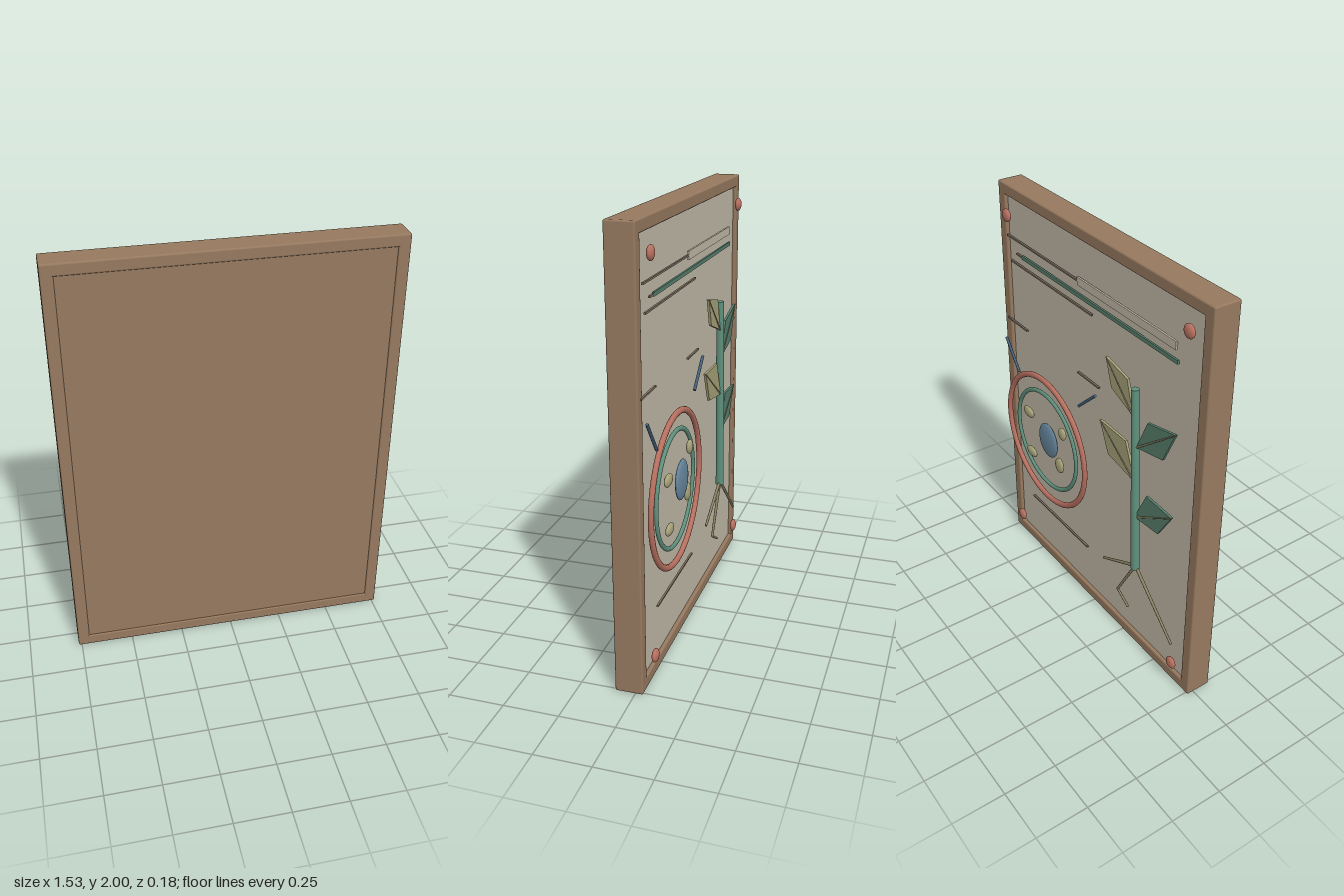
import * as THREE from 'three';
import { RoundedBoxGeometry } from 'three/addons/geometries/RoundedBoxGeometry.js';

const mat = (name, color) => {
  const m = new THREE.MeshStandardMaterial({ color });
  m.name = name;
  return m;
};

export function createModel() {
  const model = new THREE.Group();
  const wood = mat('brown wood', 0x96795f);
  const paper = mat('cream paper', 0xc2baa8);
  const red = mat('terracotta', 0xb87060);
  const green = mat('sage green', 0x5f917d);
  const leafGreen = mat('leaf green', 0x587f6d);
  const olive = mat('olive', 0xa5a179);
  const root = mat('root olive', 0x857f62);
  const blue = mat('slate blue', 0x66859b);
  const navy = mat('dark blue', 0x445f78);
  const ink = mat('grey brown', 0x7f7263);

  const add = (name, geometry, material, x = 0, y = 0, z = 0) => {
    const mesh = new THREE.Mesh(geometry, material);
    mesh.name = name;
    mesh.position.set(x, y, z);
    model.add(mesh);
    return mesh;
  };
  const box = (name, m, w, h, d, x, y, z, r = 0.008) =>
    add(name, r ? new RoundedBoxGeometry(w, h, d, 2, r) : new THREE.BoxGeometry(w, h, d), m, x, y, z);

  // Round rod between two points on the back, at depth z
  const rod = (name, m, [x0, y0], [x1, y1], r0, r1 = r0, z = -0.058) => {
    const len = Math.hypot(x1 - x0, y1 - y0);
    const mesh = add(name, new THREE.CylinderGeometry(r1, r0, len, 12), m, (x0 + x1) / 2, (y0 + y1) / 2, z);
    mesh.rotation.z = Math.atan2(y1 - y0, x1 - x0) - Math.PI / 2;
    return mesh;
  };
  const ellipsoid = (name, m, x, y, z, rx, ry, rz) => {
    const mesh = add(name, new THREE.SphereGeometry(1, 24, 16), m, x, y, z);
    mesh.scale.set(rx, ry, rz);
  };

  // Frame bars, closing board and paper sheet
  for (const s of [-1, 1]) {
    box('frameSide', wood, 0.055, 2, 0.125, s * 0.7375, 1, 0.0275);
    box('frameRail', wood, 1.5, 0.055, 0.125, 0, 1 + s * 0.9725, 0.0275);
  }
  box('board', wood, 1.44, 1.91, 0.07, 0, 1, 0.049, 0);
  box('paperSheet', paper, 1.425, 1.895, 0.03, 0, 1, -0.005);

  // Corner pins
  for (const x of [-0.66, 0.66])
    for (const y of [0.137, 1.868]) ellipsoid('cornerPin', red, x, y, -0.058, 0.03, 0.031, 0.015);

  // Two rings around a domed centre with seeds
  const ring = (name, m, radius, tube, z) => {
    add(name, new THREE.TorusGeometry(radius, tube, 12, 64), m, 0.374, 0.795, z).scale.z = 0.8;
  };
  ring('outerRing', red, 0.343, 0.015, -0.065);
  ring('innerRing', green, 0.262, 0.011, -0.06);
  ellipsoid('centreDome', blue, 0.333, 0.822, -0.075, 0.08, 0.093, 0.018);
  for (const [x, y, rx, ry] of [
    [0.513, 0.892, 0.044, 0.028], [0.208, 0.928, 0.028, 0.033],
    [0.499, 0.66, 0.044, 0.026], [0.24, 0.725, 0.033, 0.042],
  ]) ellipsoid('seed', olive, x, y, -0.073, rx, ry, 0.014);

  // Plant stem
  rod('stem', green, [-0.371, 0.505], [-0.34, 1.457], 0.021, 0.018);

  // Diamond leaves with a midrib: base, side, tip, side
  const leaf = (m, rib, pts) => {
    const shape = new THREE.Shape(pts.map(([x, y]) => new THREE.Vector2(x, y)));
    add('leaf', new THREE.ExtrudeGeometry(shape, { depth: 0.012, bevelEnabled: false }), m, 0, 0, -0.062);
    rod('leafMidrib', rib, pts[0], pts[2], 0.005, 0.003, -0.061);
  };
  leaf(olive, root, [[-0.333, 1.32], [-0.288, 1.478], [-0.134, 1.511], [-0.175, 1.38]]);
  leaf(olive, root, [[-0.353, 0.99], [-0.283, 1.166], [-0.09, 1.17], [-0.154, 1.022]]);
  leaf(leafGreen, root, [[-0.36, 1.177], [-0.433, 1.34], [-0.615, 1.382], [-0.54, 1.217]]);
  leaf(leafGreen, root, [[-0.36, 0.8], [-0.44, 0.966], [-0.615, 0.96], [-0.527, 0.817]]);

  // Roots
  const crown = [-0.373, 0.52];
  rod('root', root, crown, [-0.119, 0.385], 0.008, 0.006);
  rod('root', root, crown, [-0.236, 0.271], 0.008, 0.006);
  rod('rootTip', root, [-0.236, 0.273], [-0.323, 0.22], 0.006);
  rod('root', root, crown, [-0.655, 0.25], 0.008, 0.006);

  // Slanted pointers beside the rings
  rod('pointer', navy, [0.727, 1.213], [0.616, 1.066], 0.007);
  rod('pointer', navy, [0.084, 1.149], [-0.047, 1.27], 0.007);

  // Ruled strips and the heading plate
  const strip = (m, x0, x1, y, h) =>
    box('ruledStrip', m, x1 - x0, h, 0.009, (x0 + x1) / 2, y, -0.036, 0);
  strip(ink, 0.113, 0.695, 1.757, 0.008);
  strip(paper, -0.564, 0.113, 1.756, 0.038);
  strip(leafGreen, -0.579, 0.572, 1.69, 0.018);
  strip(ink, 0.572, 0.62, 1.69, 0.008);
  strip(ink, 0.004, 0.674, 1.638, 0.008);
  strip(ink, 0.557, 0.735, 1.315, 0.008);
  strip(ink, -0.047, 0.12, 1.303, 0.008);
  strip(ink, 0.055, 0.564, 0.318, 0.008);

  return model;
}
